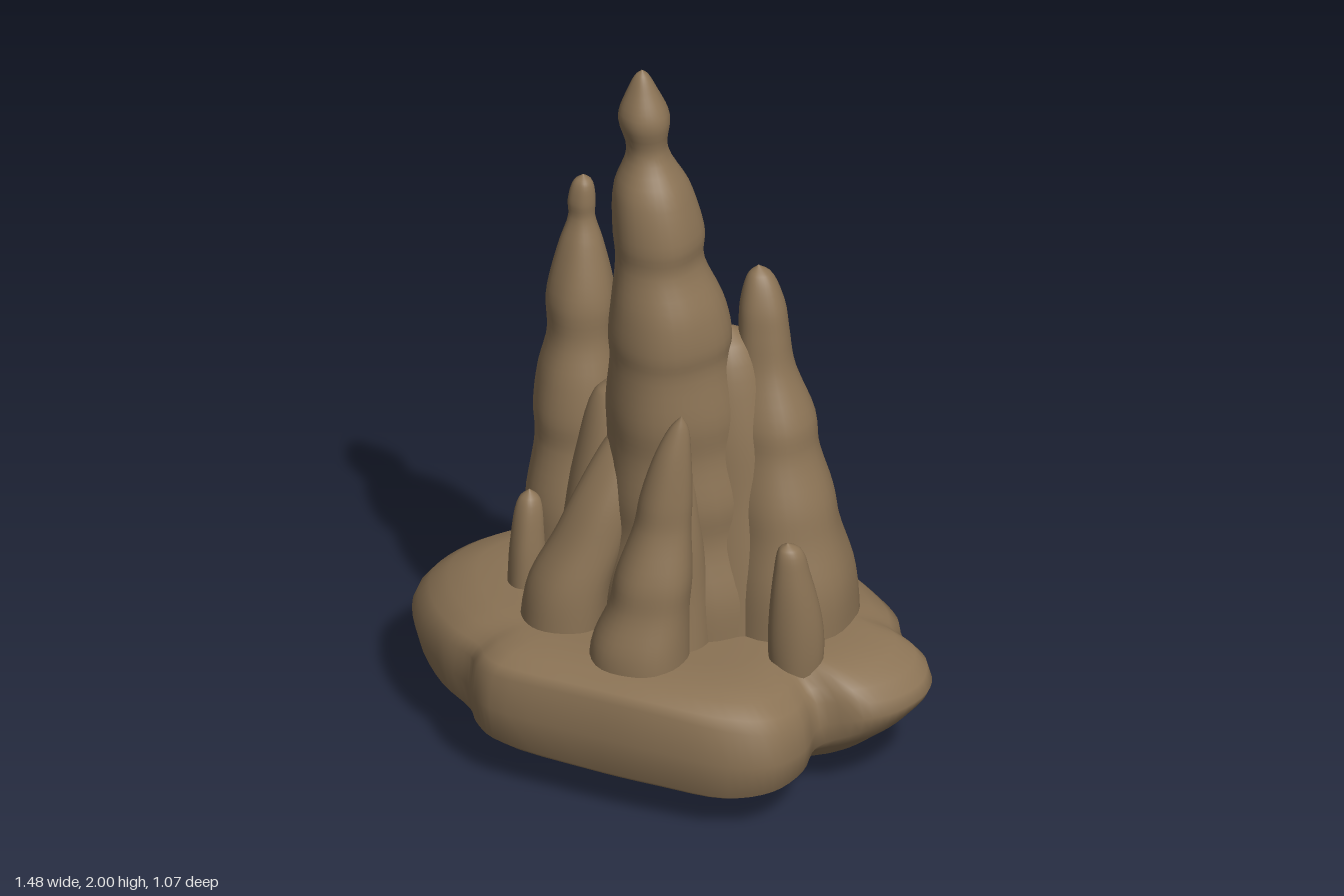
import * as THREE from 'three';

const stone = new THREE.MeshStandardMaterial({ color: 0x8b7355 });
stone.name = 'brown stone';

// Smooth closed skin over a stack of rings, listed from top to bottom
function skin(rings) {
  const n = rings[0].length, pos = [], idx = [];
  rings.forEach((ring) => ring.forEach((p) => pos.push(p.x, p.y, p.z)));
  for (let i = 0; i < rings.length - 1; i++) {
    for (let j = 0; j < n; j++) {
      const k = (j + 1) % n;
      const a = i * n + j, b = i * n + k, c = a + n, d = b + n;
      idx.push(a, b, c, b, d, c);
    }
  }
  const geo = new THREE.BufferGeometry();
  geo.setAttribute('position', new THREE.Float32BufferAttribute(pos, 3));
  geo.setIndex(idx);
  geo.computeVertexNormals();
  return geo;
}

// Leaning, bulging column; sections are [y, x, z, radius] from tip to foot
function spire(sections, phase) {
  const axis = new THREE.CatmullRomCurve3(sections.map(([y, x, z]) => new THREE.Vector3(x, y, z)));
  const girth = new THREE.CatmullRomCurve3(sections.map(([y, , , r]) => new THREE.Vector3(r, y, 0)));
  const rows = sections.length * 4, sides = 32, rings = [];
  for (let i = 0; i <= rows; i++) {
    const c = axis.getPoint(i / rows);
    const r = Math.max(0.001, girth.getPoint(i / rows).x);
    rings.push(Array.from({ length: sides }, (_, j) => {
      const a = (j / sides) * Math.PI * 2;
      const k = r * (1 + 0.025 * Math.sin(3 * a + phase + c.y * 3) + 0.015 * Math.sin(5 * a - phase + c.y * 7));
      return new THREE.Vector3(c.x + k * Math.cos(a), c.y, c.z + k * Math.sin(a));
    }));
  }
  return skin(rings);
}

// Boulder base with a side knob: outline points are [x, z, lower edge y, upper edge y]
function boulder() {
  const outline = [
    [-0.74, 0.04, 0.19, 0.26], [-0.70, -0.10, 0.18, 0.28], [-0.60, -0.22, 0.15, 0.30],
    [-0.46, -0.35, 0.13, 0.30], [-0.39, -0.365, 0.13, 0.30], [-0.24, -0.43, 0.14, 0.30],
    [-0.20, -0.50, 0.15, 0.30], [-0.12, -0.535, 0.16, 0.29], [0.0, -0.53, 0.16, 0.29],
    [0.15, -0.50, 0.15, 0.30], [0.30, -0.44, 0.15, 0.31], [0.45, -0.35, 0.15, 0.31],
    [0.55, -0.26, 0.17, 0.32], [0.61, -0.175, 0.19, 0.32], [0.70, -0.135, 0.21, 0.30],
    [0.735, -0.05, 0.22, 0.28], [0.71, 0.07, 0.21, 0.28], [0.65, 0.155, 0.20, 0.29],
    [0.54, 0.195, 0.15, 0.28], [0.55, 0.30, 0.13, 0.27], [0.52, 0.42, 0.12, 0.29],
    [0.42, 0.49, 0.11, 0.31], [0.22, 0.525, 0.12, 0.33], [0.0, 0.53, 0.12, 0.33],
    [-0.28, 0.52, 0.13, 0.32], [-0.35, 0.48, 0.14, 0.31], [-0.40, 0.42, 0.14, 0.30],
    [-0.52, 0.35, 0.15, 0.29], [-0.66, 0.21, 0.17, 0.27],
  ];
  const curve = (f) => new THREE.CatmullRomCurve3(outline.map(f), true).getPoints(116).slice(0, 116);
  const low = curve(([x, z, l]) => new THREE.Vector3(x, l, z));
  const high = curve(([x, z, , h]) => new THREE.Vector3(x, h, z));
  const ring = (edge, scale, mix, y) => edge.map((p) =>
    new THREE.Vector3(p.x * scale, THREE.MathUtils.lerp(y, p.y, mix), p.z * scale));
  const middle = low.map((p, i) => p.clone().add(high[i]).multiplyScalar(0.5));
  return skin([
    ring(high, 0.001, 0, 0.37), ring(high, 0.35, 0, 0.375), ring(high, 0.6, 0.1, 0.39),
    ring(high, 0.75, 0.2, 0.395), ring(high, 0.86, 0.42, 0.4), ring(high, 0.935, 0.7, 0.395),
    ring(high, 0.98, 1, 0), ring(middle, 1, 1, 0), ring(low, 0.98, 1, 0),
    ring(low, 0.92, 0.75, 0.02), ring(low, 0.81, 0.42, 0.02), ring(low, 0.65, 0.15, 0.015),
    ring(low, 0.45, 0.03, 0.006), ring(low, 0.2, 0, 0.0), ring(low, 0.001, 0, 0.0),
  ]);
}

const spires = {
  mainSpire: [
    [2.0, -0.06, 0.06, 0], [1.985, -0.06, 0.06, 0.017], [1.94, -0.058, 0.06, 0.04],
    [1.86, -0.052, 0.06, 0.069], [1.76, -0.046, 0.055, 0.055], [1.65, -0.03, 0.06, 0.102],
    [1.52, -0.012, 0.06, 0.122], [1.44, -0.01, 0.06, 0.118], [1.32, 0.01, 0.055, 0.15],
    [1.22, 0.015, 0.05, 0.165], [1.15, 0.015, 0.05, 0.16], [1.0, 0.02, 0.035, 0.182],
    [0.89, 0.02, 0.025, 0.183], [0.75, 0.03, 0.01, 0.205], [0.64, 0.03, 0.0, 0.208],
    [0.48, 0.045, -0.01, 0.24], [0.33, 0.05, -0.015, 0.245],
  ],
  rightSpire: [
    [1.535, -0.315, -0.095, 0], [1.515, -0.315, -0.095, 0.025], [1.46, -0.318, -0.095, 0.037],
    [1.41, -0.318, -0.095, 0.036], [1.33, -0.316, -0.09, 0.06], [1.18, -0.312, -0.08, 0.092],
    [1.07, -0.31, -0.075, 0.09], [0.96, -0.31, -0.07, 0.114], [0.85, -0.31, -0.065, 0.126],
    [0.76, -0.31, -0.06, 0.12], [0.6, -0.31, -0.05, 0.14], [0.48, -0.31, -0.045, 0.138],
    [0.33, -0.31, -0.045, 0.146],
  ],
  leftSpire: [
    [1.385, 0.2, -0.11, 0], [1.36, 0.205, -0.11, 0.032], [1.28, 0.215, -0.105, 0.06],
    [1.2, 0.222, -0.1, 0.068], [1.1, 0.23, -0.095, 0.078], [0.96, 0.25, -0.09, 0.118],
    [0.87, 0.26, -0.085, 0.122], [0.74, 0.28, -0.08, 0.147], [0.64, 0.295, -0.075, 0.153],
    [0.5, 0.31, -0.075, 0.178], [0.33, 0.31, -0.075, 0.186],
  ],
  frontSpire: [
    [1.1, 0.16, 0.26, 0], [1.06, 0.15, 0.255, 0.025], [0.98, 0.135, 0.26, 0.048],
    [0.85, 0.118, 0.265, 0.07], [0.76, 0.11, 0.27, 0.077], [0.62, 0.095, 0.29, 0.103],
    [0.53, 0.085, 0.298, 0.108], [0.42, 0.065, 0.31, 0.13], [0.31, 0.062, 0.312, 0.134],
  ],
  smallLeftSpire: [
    [0.73, 0.425, 0.16, 0], [0.71, 0.428, 0.155, 0.03], [0.63, 0.43, 0.148, 0.05],
    [0.5, 0.432, 0.132, 0.07], [0.4, 0.432, 0.125, 0.074], [0.31, 0.432, 0.125, 0.066],
  ],
  smallRightSpire: [
    [0.65, -0.38, 0.09, 0], [0.62, -0.38, 0.09, 0.03], [0.5, -0.38, 0.1, 0.047],
    [0.31, -0.38, 0.1, 0.057],
  ],
  slantedSpur: [
    [0.98, -0.07, 0.07, 0], [0.88, -0.085, 0.095, 0.06], [0.75, -0.115, 0.14, 0.085],
    [0.62, -0.15, 0.175, 0.098], [0.48, -0.195, 0.21, 0.113], [0.31, -0.215, 0.22, 0.118],
  ],
  // Bridging columns that fill the valleys between the spires
  rightSaddle: [
    [0.995, -0.17, -0.01, 0], [0.96, -0.17, -0.01, 0.06], [0.77, -0.17, 0.0, 0.11],
    [0.55, -0.17, 0.01, 0.145], [0.33, -0.18, 0.02, 0.18],
  ],
  leftSaddle: [
    [1.22, 0.14, -0.05, 0], [1.17, 0.14, -0.05, 0.07], [0.98, 0.15, -0.055, 0.125],
    [0.75, 0.165, -0.06, 0.15], [0.55, 0.175, -0.055, 0.17], [0.33, 0.18, -0.045, 0.185],
  ],
  frontSaddle: [
    [0.92, 0.09, 0.17, 0], [0.87, 0.09, 0.17, 0.045], [0.7, 0.085, 0.18, 0.085],
    [0.5, 0.08, 0.18, 0.11], [0.33, 0.075, 0.19, 0.13],
  ],
};

export function createModel() {
  const group = new THREE.Group();
  const add = (name, geometry) => {
    const mesh = new THREE.Mesh(geometry, stone);
    mesh.name = name;
    group.add(mesh);
  };
  add('base', boulder());
  Object.entries(spires).forEach(([name, sections], i) => add(name, spire(sections, i * 1.7)));
  return group;
}
